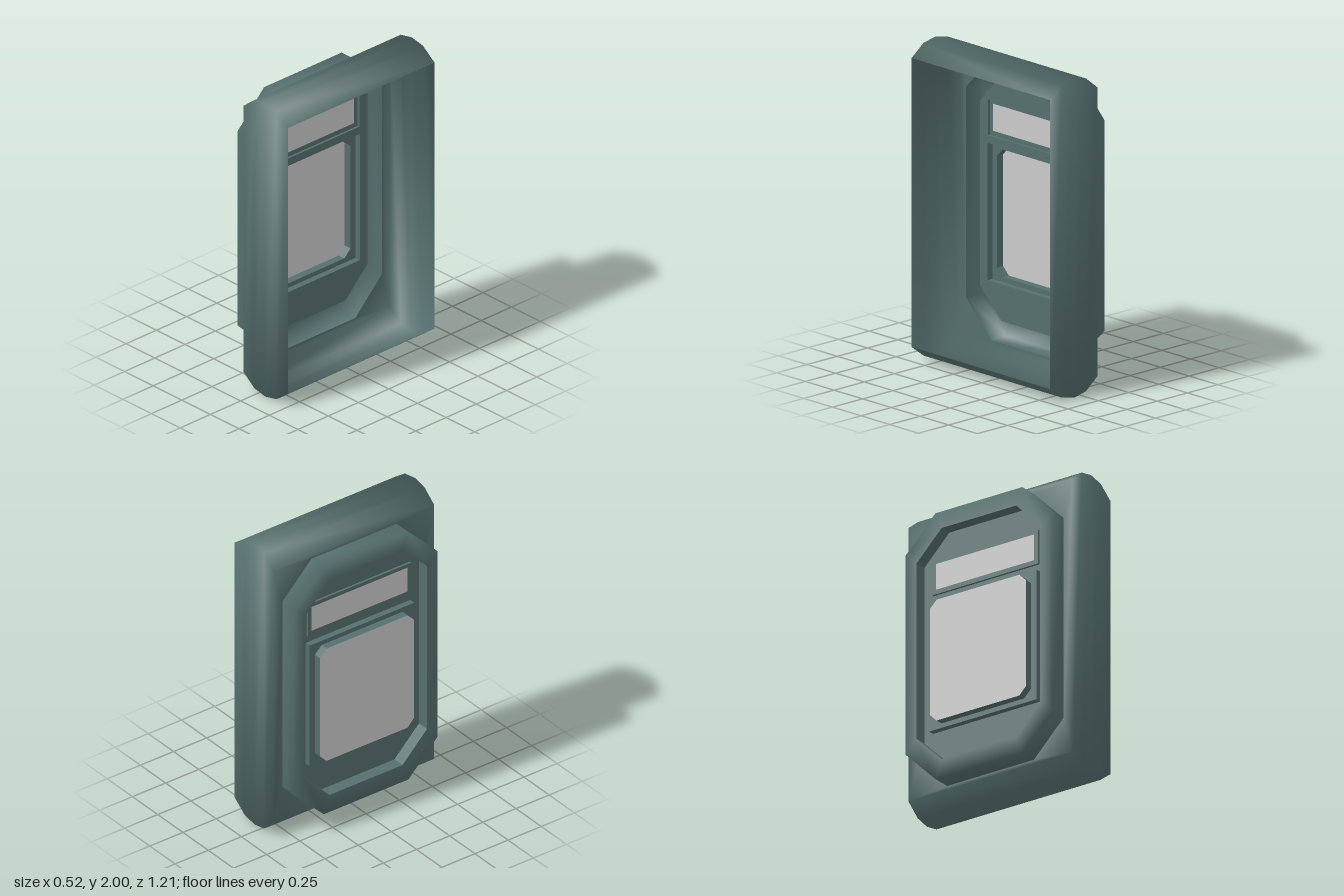
import * as THREE from 'three';
import { mergeVertices } from 'three/addons/utils/BufferGeometryUtils.js';

const green = new THREE.MeshStandardMaterial({ color: 0x556f6e, side: THREE.DoubleSide });
const grey = new THREE.MeshStandardMaterial({ color: 0xcccccc, side: THREE.DoubleSide });

// Rectangle in the z-y plane with chamfered corners, as eight [z, y] points
function outline(halfZ, y0, y1, c = 0) {
  return [
    [halfZ, y0 + c], [halfZ, y1 - c], [halfZ - c, y1], [-halfZ + c, y1],
    [-halfZ, y1 - c], [-halfZ, y0 + c], [-halfZ + c, y0], [halfZ - c, y0],
  ];
}

// Skin between successive outlines, each given as [x, outline]
function loft(loops, smooth) {
  const pos = [], index = [];
  for (const [x, pts] of loops) for (const [z, y] of pts) pos.push(x, y, z);
  for (let r = 0; r < loops.length - 1; r++) {
    for (let i = 0; i < 8; i++) {
      const a = r * 8 + i, b = r * 8 + (i + 1) % 8;
      index.push(a, b, a + 8, b, b + 8, a + 8);
    }
  }
  let geo = new THREE.BufferGeometry();
  geo.setAttribute('position', new THREE.Float32BufferAttribute(pos, 3));
  geo.setIndex(index);
  geo = smooth ? mergeVertices(geo) : geo.toNonIndexed();
  geo.computeVertexNormals();
  return geo;
}

// Flat sheet facing -x, with optional holes
function sheet(x, pts, holes = []) {
  const vectors = (p) => p.map(([z, y]) => new THREE.Vector2(z, y))
    .filter((v, i, all) => !v.equals(all[(i + 1) % all.length]));
  const shape = new THREE.Shape(vectors(pts));
  for (const h of holes) shape.holes.push(new THREE.Path(vectors(h)));
  return new THREE.ShapeGeometry(shape).rotateY(-Math.PI / 2).translate(x, 0, 0);
}

export function createModel() {
  const group = new THREE.Group();
  const add = (name, geo, mat = green) => {
    const mesh = new THREE.Mesh(geo, mat);
    mesh.name = name;
    group.add(mesh);
  };

  const plate = outline(0.54, 0.12, 1.88, 0.22);
  const recess = outline(0.46, 0.24, 1.77, 0.185);
  const lowerFrame = outline(0.395, 0.47, 1.33);
  const lowerPanel = outline(0.355, 0.5, 1.3, 0.05);
  const upperFrame = outline(0.39, 1.38, 1.605);
  const upperPanel = outline(0.362, 1.41, 1.58);

  // Hollow shell, open on +x, with bulging top and bottom
  const ribs = [[0.26, 0.905], [0.16, 0.98], [0.06, 1], [-0.035, 0.98], [-0.13, 0.905]];
  const shell = ribs.map(([x, h]) => [x, outline(0.605, 1 - h, 1 + h)]);
  add('shell', loft([...shell, [-0.13, plate]], true));

  // Raised eight-sided rim and its recess
  add('rim', loft([[-0.13, plate], [-0.25, plate], [-0.25, recess]], true));
  add('recessWall', loft([[-0.25, recess], [-0.17, recess]], false));
  add('recessFloor', sheet(-0.17, recess, [lowerFrame, upperFrame]));

  // Large stepped panel
  add('lowerFrame', loft([
    [-0.17, lowerFrame], [-0.21, lowerFrame], [-0.21, lowerPanel], [-0.26, lowerPanel],
  ], false));
  add('lowerPanel', sheet(-0.26, lowerPanel), grey);

  // Narrow upper panel
  add('upperFrame', loft([
    [-0.17, upperFrame], [-0.185, upperFrame], [-0.185, upperPanel],
  ], false));
  add('upperPanel', sheet(-0.185, upperPanel), grey);

  return group;
}
